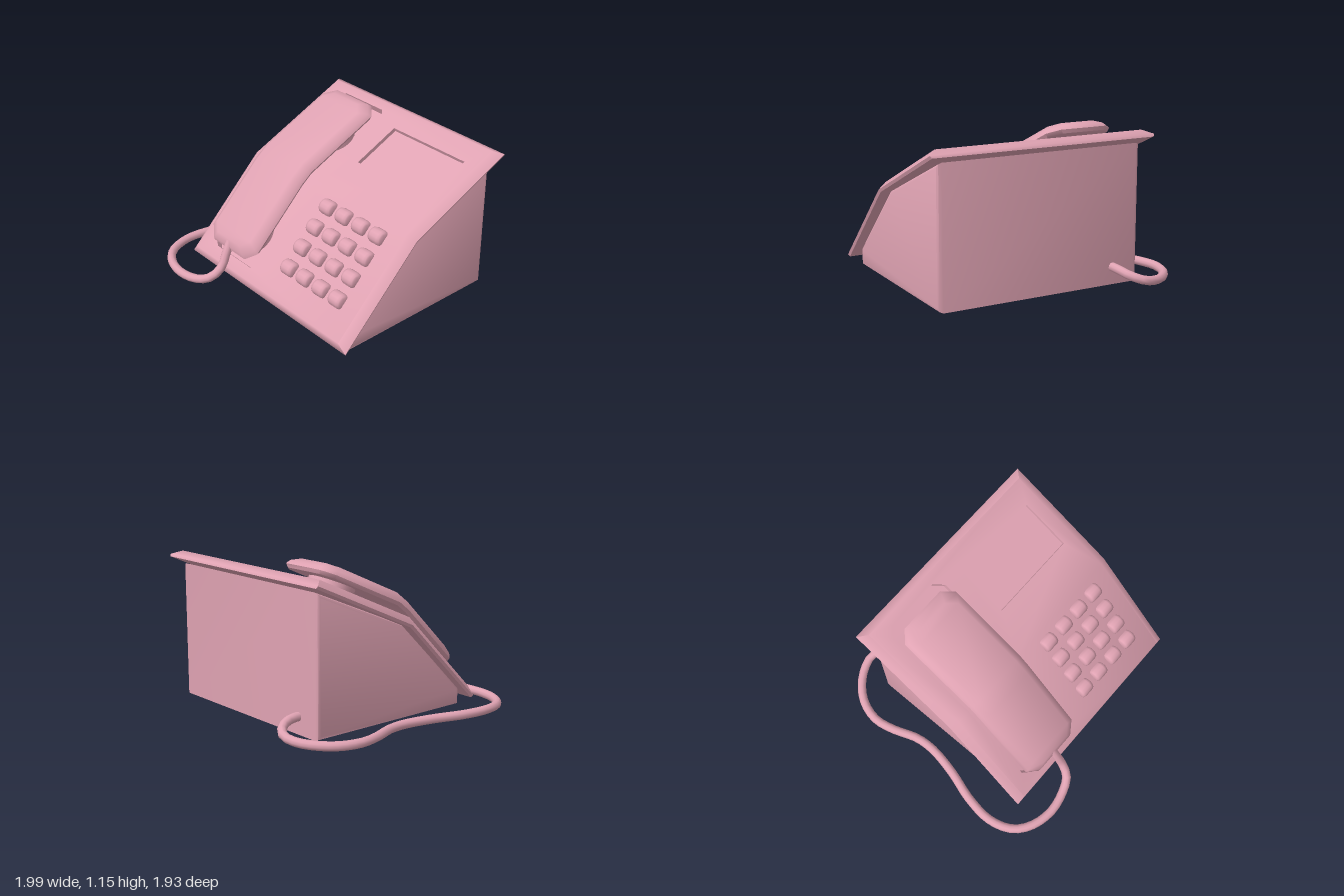
import * as THREE from 'three';
import { mergeGeometries, toCreasedNormals } from 'three/addons/utils/BufferGeometryUtils.js';

const material = new THREE.MeshStandardMaterial({ color: 0xe0a3b3 });

// The sloping top bends at one line: s runs up the slope (0 at the bend), h is height above it.
const BEND = { y: 0.75, z: 0.1 };
function onSlope(x, s, h) {
  if (Math.abs(s) < 1e-6) return [x, BEND.y + 0.84 * h, BEND.z + 0.571 * h];
  if (s < 0) return [x, BEND.y + 0.701 * s + 0.713 * h, BEND.z - 0.713 * s + 0.701 * h];
  return [x, BEND.y + 0.406 * s + 0.914 * h, BEND.z - 0.914 * s + 0.406 * h];
}

// Rows [s, halfWidth] of a rectangle with cut corners
function outline(s0, s1, w, c, bends) {
  return [[s0, w - c], [s0 + c, w], ...bends.map((s) => [s, w]), [s1 - c, w], [s1, w - c]];
}

// Skin through stacked outlines; the last may be capped on top, the first underneath
function shell(cx, layers, capTop = true, capBottom = false) {
  const pos = [], idx = [];
  const n = layers[0].rows.length, m = 2 * n;
  for (const { rows, h } of layers) {
    for (const [s, w] of rows) pos.push(...onSlope(cx + w, s, h));
    for (const [s, w] of [...rows].reverse()) pos.push(...onSlope(cx - w, s, h));
  }
  const quad = (a, b, c, d) => idx.push(a, b, c, a, c, d);
  for (let i = 0; i < layers.length - 1; i++) {
    for (let j = 0; j < m; j++) {
      const k = (j + 1) % m;
      quad(i * m + j, i * m + k, (i + 1) * m + k, (i + 1) * m + j);
    }
  }
  const top = (layers.length - 1) * m;
  for (let r = 0; r < n - 1; r++) {
    const l = m - 1 - r;
    if (capTop) quad(top + l, top + r, top + r + 1, top + l - 1);
    if (capBottom) quad(l, l - 1, r + 1, r);
  }
  const g = new THREE.BufferGeometry();
  g.setAttribute('position', new THREE.Float32BufferAttribute(pos, 3));
  g.setIndex(idx);
  return g;
}

// Flat panel drawn in (x, s) and laid on the slope
function panel(points, hole) {
  const shape = new THREE.Shape(points.map(([x, s]) => new THREE.Vector2(x, s)));
  if (hole) shape.holes.push(new THREE.Path(hole.map(([x, s]) => new THREE.Vector2(x, s))));
  const g = new THREE.ShapeGeometry(shape);
  const p = g.attributes.position;
  for (let i = 0; i < p.count; i++) p.setXYZ(i, ...onSlope(p.getX(i), p.getY(i), 0));
  g.deleteAttribute('uv');
  g.deleteAttribute('normal');
  return g;
}

export function createModel() {
  const model = new THREE.Group();
  const add = (name, geometry, parent = model) => {
    const mesh = new THREE.Mesh(geometry, material);
    mesh.name = name;
    parent.add(mesh);
    return mesh;
  };
  const CX = 0.13; // middle of the base
  const HX = -0.3; // middle of the handset

  // Wedge-shaped base
  const [, by, bz] = onSlope(0, 0, -0.065);
  const side = new THREE.Shape([[0.64, 0.01], [0.64, 0.14], [bz, by], [-0.715, 1.02], [-0.715, 0.01]]
    .map(([z, y]) => new THREE.Vector2(-z, y)));
  const base = new THREE.ExtrudeGeometry(side, {
    depth: 1.52, bevelSize: 0.03, bevelThickness: 0.03, bevelOffset: -0.03, bevelSegments: 2,
  });
  base.rotateY(Math.PI / 2).translate(CX - 0.76, 0, 0);
  add('base', toCreasedNormals(base, 0.7));

  // Top plate: bevelled rim, two panels, sunken cradle and sunken display
  const rim = shell(CX, [
    { rows: [[-0.9, 0.86], [0, 0.86], [0.937, 0.86]], h: -0.07 },
    { rows: [[-0.9, 0.87], [0, 0.87], [0.937, 0.87]], h: -0.05 },
    { rows: [[-0.86, 0.805], [0, 0.805], [0.886, 0.805]], h: 0 },
  ], false, true);
  const L = CX - 0.805, R = CX + 0.805, l = HX - 0.27, r = HX + 0.27, c = 0.07;
  const lower = panel([[L, -0.86], [R, -0.86], [R, 0], [r, 0], [r, -0.77 + c], [r - c, -0.77],
    [l + c, -0.77], [l, -0.77 + c], [l, 0], [L, 0]]);
  const upper = panel([[L, 0], [l, 0], [l, 0.81 - c], [l + c, 0.81], [r - c, 0.81], [r, 0.81 - c],
    [r, 0], [R, 0], [R, 0.886], [L, 0.886]],
  [[0.13, 0.317], [0.835, 0.317], [0.835, 0.711], [0.13, 0.711]]);
  const cradleRows = outline(-0.77, 0.81, 0.27, c, [0]);
  const cradle = shell(HX, [{ rows: cradleRows, h: 0 }, { rows: cradleRows, h: -0.055 }]);
  const displayRows = [[0.317, 0.3525], [0.711, 0.3525]];
  const display = shell(0.4825, [{ rows: displayRows, h: 0 }, { rows: displayRows, h: -0.03 }]);
  add('topPlate', toCreasedNormals(mergeGeometries([rim, lower, upper]), 0.9));
  add('cradle', toCreasedNormals(cradle, 0.5));
  add('display', toCreasedNormals(display, 0.5));

  // Handset with ear and mouth pieces resting in the cradle
  const handset = new THREE.Group();
  handset.name = 'handset';
  model.add(handset);
  const bends = [-0.06, 0.02];
  add('handle', toCreasedNormals(shell(HX, [
    { rows: outline(-0.72, 0.73, 0.25, 0.08, bends), h: 0.06 },
    { rows: outline(-0.74, 0.745, 0.265, 0.08, bends), h: 0.085 },
    { rows: outline(-0.725, 0.73, 0.25, 0.08, bends), h: 0.115 },
    { rows: outline(-0.68, 0.67, 0.2, 0.07, bends), h: 0.15 },
  ], true, true), 0.95), handset);
  for (const [name, s, tilt] of [['earpiece', 0.45, 0.418], ['mouthpiece', -0.53, 0.777]]) {
    const piece = add(name, new THREE.CylinderGeometry(0.17, 0.17, 0.13, 24), handset);
    piece.position.set(...onSlope(HX, s, 0.01));
    piece.rotation.x = tilt;
  }

  // Keypad: four by four rounded keys
  const keypad = new THREE.Group();
  keypad.name = 'keypad';
  model.add(keypad);
  const key = toCreasedNormals(new THREE.LatheGeometry(
    [[0, -0.06], [0.04, -0.06], [0.052, -0.053], [0.058, -0.035], [0.058, 0.035], [0.052, 0.053], [0.04, 0.06], [0, 0.06]]
      .map(([a, b]) => new THREE.Vector2(a, b)), 14), 0.8);
  key.rotateZ(Math.PI / 2);
  for (let row = 0; row < 4; row++) {
    for (let col = 0; col < 4; col++) {
      const s = -(0.075 + 0.121 * row) / 0.713;
      add('key', key, keypad).position.set(...onSlope(0.226 + 0.171 * col, s, 0));
    }
  }

  // Cord looping from the handset round to the back
  const path = new THREE.CatmullRomCurve3([
    [-0.31, 0.36, 0.66], [-0.305, 0.27, 0.71], [-0.3, 0.16, 0.77], [-0.34, 0.09, 0.85], [-0.45, 0.05, 0.9],
    [-0.61, 0.04, 0.925], [-0.78, 0.04, 0.885], [-0.9, 0.04, 0.79], [-0.96, 0.045, 0.62], [-0.94, 0.045, 0.4],
    [-0.87, 0.045, 0.16], [-0.83, 0.045, -0.07], [-0.84, 0.045, -0.22], [-0.91, 0.045, -0.42],
    [-0.935, 0.045, -0.57], [-0.89, 0.045, -0.73], [-0.79, 0.05, -0.85], [-0.67, 0.06, -0.92],
    [-0.57, 0.08, -0.935], [-0.49, 0.11, -0.88], [-0.455, 0.135, -0.79], [-0.45, 0.14, -0.69],
  ].map((p) => new THREE.Vector3(...p)));
  add('cord', new THREE.TubeGeometry(path, 56, 0.033, 10));

  return model;
}
